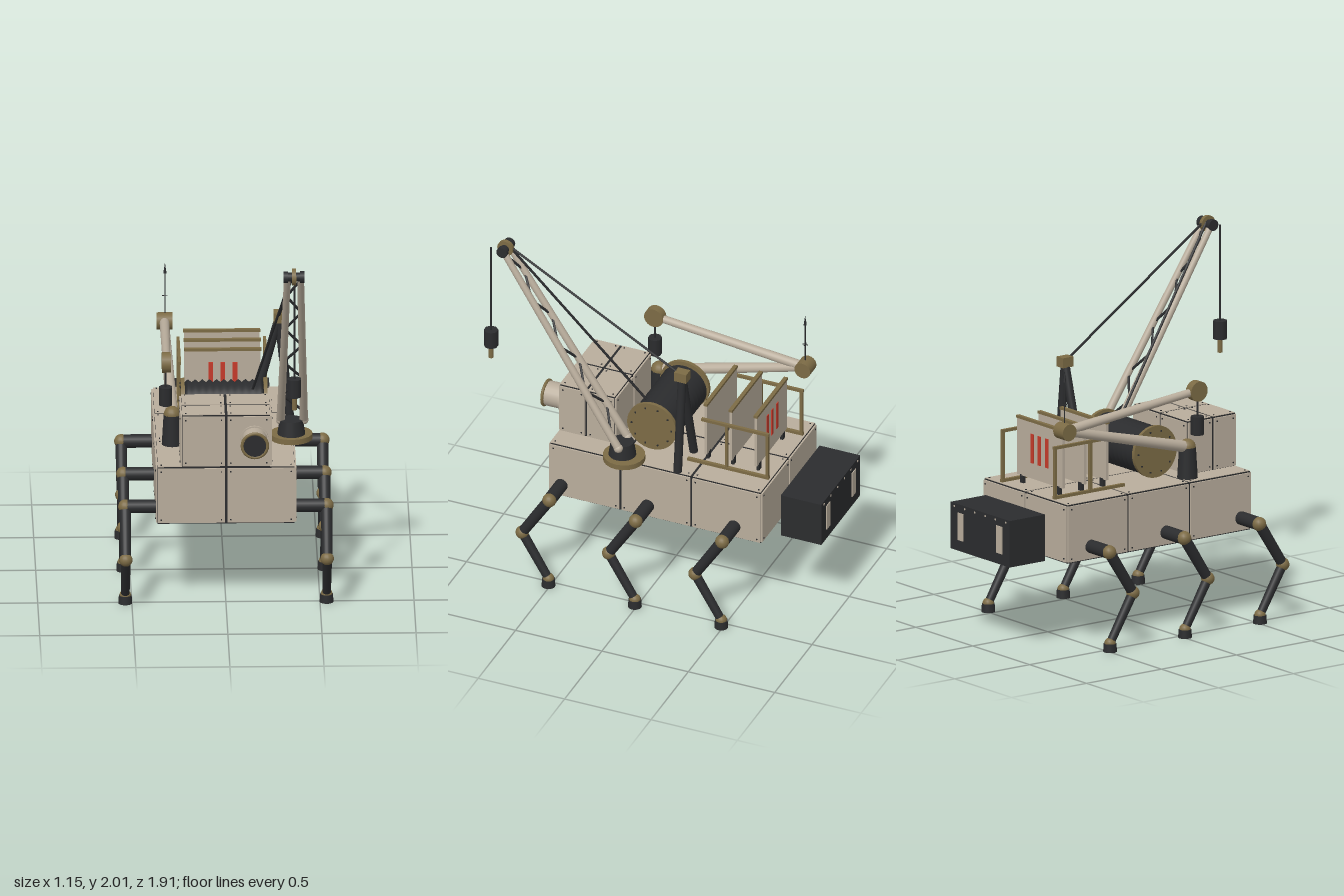
import * as THREE from 'three';

const mat = (name, color) => Object.assign(new THREE.MeshStandardMaterial({ color }), { name });
const V = (x, y, z) => new THREE.Vector3(x, y, z);

export function createModel() {
  const root = new THREE.Group();
  root.name = 'walkingCrane';
  const beige = mat('beige plating', 0xb9ad9c);
  const dark = mat('dark iron', 0x2b2c2e);
  const bronze = mat('bronze', 0x7c6b45);
  const red = mat('red marking', 0xc63a2a);

  const add = (name, geo, m, x = 0, y = 0, z = 0, parent = root) => {
    const mesh = new THREE.Mesh(geo, m);
    mesh.name = name;
    mesh.position.set(x, y, z);
    parent.add(mesh);
    return mesh;
  };
  const box = (name, w, h, d, m, x, y, z, parent) =>
    add(name, new THREE.BoxGeometry(w, h, d), m, x, y, z, parent);
  const ball = (name, r, m, p, parent) =>
    add(name, new THREE.SphereGeometry(r, 16, 12), m, p.x, p.y, p.z, parent);
  // Cylinder between two points
  const rod = (name, a, b, r, m, parent, r2 = r) => {
    const dir = b.clone().sub(a);
    const mesh = add(name, new THREE.CylinderGeometry(r2, r, dir.length(), r < 0.01 ? 6 : 20), m, 0, 0, 0, parent);
    mesh.position.copy(a).add(b).multiplyScalar(0.5);
    mesh.quaternion.setFromUnitVectors(V(0, 1, 0), dir.normalize());
    return mesh;
  };
  const group = (name) => {
    const g = new THREE.Group();
    g.name = name;
    root.add(g);
    return g;
  };

  // Dark core clad in separate riveted plates; cuts are the seams on each axis
  const plated = (name, cuts) => {
    const g = group(name), t = 0.012, gap = 0.007;
    const lo = cuts.map((c) => c[0]), hi = cuts.map((c) => c[c.length - 1]);
    const size = hi.map((h, i) => h - lo[i]);
    box(name + 'Core', size[0] - 0.012, size[1], size[2] - 0.012, dark,
      ...hi.map((h, i) => (h + lo[i]) / 2), g);
    for (let axis = 0; axis < 3; axis++) {
      const u = (axis + 1) % 3, v = (axis + 2) % 3;
      for (const side of [-1, 1]) {
        if (axis === 1 && side < 0) continue;
        const face = (side > 0 ? hi : lo)[axis];
        for (let i = 0; i + 1 < cuts[u].length; i++) for (let j = 0; j + 1 < cuts[v].length; j++) {
          const dims = [], pos = [];
          dims[axis] = t;
          pos[axis] = face - side * (t / 2 - 0.003);
          dims[u] = cuts[u][i + 1] - cuts[u][i] - 2 * gap;
          dims[v] = cuts[v][j + 1] - cuts[v][j] - 2 * gap;
          pos[u] = (cuts[u][i + 1] + cuts[u][i]) / 2;
          pos[v] = (cuts[v][j + 1] + cuts[v][j]) / 2;
          box(name + 'Plate', ...dims, beige, ...pos, g);
          for (const a of [-1, 1]) for (const b of [-1, 1]) {
            const p = [...pos];
            p[axis] = face + side * 0.003;
            p[u] += a * (dims[u] / 2 - 0.018);
            p[v] += b * (dims[v] / 2 - 0.018);
            box('rivet', 0.007, 0.007, 0.007, dark, ...p, g);
          }
        }
      }
    }
  };
  plated('hull', [[-0.37, 0, 0.37], [0.47, 0.79], [-0.65, -0.245, 0.165, 0.578]]);
  plated('cabin', [[-0.24, 0, 0.24], [0.79, 1.083], [0.25, 0.42, 0.578]]);

  // Round lamp on the cabin front
  const lamp = group('lamp');
  rod('lampHousing', V(0.15, 0.95, 0.57), V(0.15, 0.95, 0.69), 0.068, beige, lamp);
  rod('lampFlange', V(0.15, 0.95, 0.58), V(0.15, 0.95, 0.592), 0.076, beige, lamp);
  add('lampRim', new THREE.TorusGeometry(0.067, 0.009, 8, 28), bronze, 0.15, 0.95, 0.686, lamp);
  rod('lampLens', V(0.15, 0.95, 0.68), V(0.15, 0.95, 0.694), 0.06, dark, lamp);

  // Winch drum wound with cable
  const winch = group('winch');
  const profile = [[0, -0.215]];
  for (let i = 0; i <= 22; i++) profile.push([i % 2 ? 0.132 : 0.116, -0.21 + (i * 0.42) / 22]);
  profile.push([0, 0.215]);
  const drum = add('drum', new THREE.LatheGeometry(profile.map((p) => new THREE.Vector2(...p)), 36), dark, 0, 0.95, 0.04, winch);
  drum.rotation.z = -Math.PI / 2;
  for (const s of [-1, 1]) {
    const flange = add('drumFlange', new THREE.CylinderGeometry(0.142, 0.142, 0.02, 36), bronze, s * 0.22, 0.95, 0.045, winch);
    flange.rotation.z = Math.PI / 2;
    for (let i = 0; i < 10; i++) {
      const a = (i * Math.PI) / 5;
      box('flangeBolt', 0.008, 0.008, 0.008, dark, s * 0.231, 0.95 + 0.115 * Math.sin(a), 0.045 + 0.115 * Math.cos(a), winch);
    }
  }

  // Slewing base and lattice boom
  const crane = group('crane');
  rod('turntable', V(0.355, 0.795, 0.15), V(0.355, 0.825, 0.15), 0.113, bronze, crane);
  rod('craneBase', V(0.355, 0.82, 0.16), V(0.355, 0.905, 0.16), 0.075, dark, crane, 0.062);
  const foot = (s) => V(0.36 + s * 0.062, 0.9, 0.155), head = (s) => V(0.355 + s * 0.035, 1.96, 0.835);
  for (const s of [-1, 1]) {
    rod('boomBeam', foot(s), head(s), 0.022, beige, crane, 0.018);
    ball('boomFoot', 0.025, beige, foot(s), crane);
  }
  for (let i = 0, s = 1; i < 8; i++, s = -s) {
    rod('boomLattice', foot(s).lerp(head(s), 0.06 + i * 0.115), foot(-s).lerp(head(-s), 0.06 + (i + 1) * 0.115), 0.007, dark, crane);
  }
  rod('tipAxle', V(0.30, 1.96, 0.835), V(0.41, 1.96, 0.835), 0.024, dark, crane);
  for (const s of [-1, 1]) rod('tipCap', V(0.355 + s * 0.032, 1.96, 0.835), V(0.355 + s * 0.056, 1.96, 0.835), 0.031, dark, crane);
  rod('tipPulley', V(0.344, 1.96, 0.835), V(0.366, 1.96, 0.835), 0.045, bronze, crane);

  // Load line, block and hook
  const hanging = (x, z, top, blockTop, size, h, parent) => {
    rod('loadLine', V(x, top, z), V(x, blockTop, z), 0.006, dark, parent);
    add('loadBlock', new THREE.CylinderGeometry(size * 0.55, size * 0.55, h, 8).rotateY(Math.PI / 8), dark, x, blockTop - h / 2, z, parent);
  };
  hanging(0.355, 0.92, 1.94, 1.415, 0.07, 0.1, crane);
  rod('loadHook', V(0.355, 1.24, 0.92), V(0.355, 1.32, 0.92), 0.013, bronze, crane);

  // A-frame mast with stay and hoist cables
  const mast = group('mast');
  const top = V(0.295, 1.36, -0.16);
  for (const x of [0.14, 0.355]) rod('mastLeg', V(x, 0.795, -0.16), top, 0.023, dark, mast);
  box('mastCap', 0.055, 0.055, 0.07, bronze, 0.295, 1.37, -0.16, mast);
  rod('stayCable', V(0.355, 1.98, 0.82), V(0.295, 1.37, -0.16), 0.007, dark, mast);
  rod('hoistCable', V(0.345, 1.97, 0.82), V(0.15, 1.05, 0.1), 0.007, dark, mast);

  // Folding service arm
  const arm = group('serviceArm');
  const shoulder = V(-0.28, 0.96, 0.22), elbow = V(-0.303, 1.18, -0.615), wrist = V(-0.31, 1.268, 0.255);
  rod('armBase', V(-0.28, 0.79, 0.22), V(-0.28, 0.96, 0.22), 0.055, dark, arm, 0.045);
  ball('shoulderJoint', 0.045, bronze, shoulder, arm);
  rod('upperArm', shoulder, elbow, 0.032, beige, arm, 0.024);
  rod('foreArm', elbow, wrist, 0.026, beige, arm, 0.021);
  rod('elbowJoint', V(-0.345, 1.18, -0.615), V(-0.26, 1.18, -0.615), 0.046, bronze, arm);
  rod('wristJoint', V(-0.335, 1.268, 0.258), V(-0.288, 1.268, 0.258), 0.055, bronze, arm);
  hanging(-0.315, 0.26, 1.25, 1.13, 0.068, 0.1, arm);

  // Aerial on the elbow
  rod('aerial', V(-0.3, 1.2, -0.615), V(-0.3, 1.48, -0.615), 0.0035, dark, arm);
  add('aerialTip', new THREE.ConeGeometry(0.009, 0.06, 8), dark, -0.3, 1.48, -0.615, arm);
  box('aerialCross', 0.03, 0.004, 0.004, dark, -0.3, 1.325, -0.615, arm);
  box('aerialCross', 0.004, 0.004, 0.03, dark, -0.3, 1.325, -0.615, arm);

  // Upright radiator plates with red markings
  const radiators = group('radiators');
  for (const z of [-0.545, -0.4, -0.255]) {
    box('radiatorPlate', 0.4, 0.315, 0.016, beige, 0, 0.992, z, radiators);
    box('radiatorCap', 0.41, 0.014, 0.022, bronze, 0, 1.15, z, radiators);
    for (const x of [-0.16, 0.16]) box('radiatorFoot', 0.03, 0.05, 0.016, dark, x, 0.815, z, radiators);
  }
  for (const x of [-0.065, 0, 0.065]) {
    box('redStripe', 0.025, 0.16, 0.004, red, x, 1.0, -0.555, radiators);
    box('redStripe', 0.025, 0.16, 0.004, red, x, 1.0, -0.245, radiators);
  }

  // Guard rails
  const rails = group('guardRails');
  for (const x of [-0.23, 0.23]) {
    box('topRail', 0.016, 0.016, 0.39, bronze, x, 1.075, -0.44, rails);
    box('baseRail', 0.018, 0.016, 0.47, bronze, x, 0.803, -0.4, rails);
    for (const z of [-0.625, -0.39]) box('railPost', 0.016, 0.28, 0.016, bronze, x, 0.935, z, rails);
  }

  // Rear counterweight
  const weight = group('counterweight');
  box('weightBody', 0.52, 0.255, 0.235, dark, 0, 0.603, -0.833, weight);
  for (const s of [-1, 1]) box('weightStripe', 0.05, 0.15, 0.006, beige, s * 0.17, 0.61, -0.952, weight);
  for (let i = 0; i < 6; i++) box('weightBolt', 0.009, 0.009, 0.009, beige, -0.225 + i * 0.09, 0.715, -0.949, weight);

  // Six jointed legs
  for (const s of [-1, 1]) for (const z of [0.505, 0.005, -0.495]) {
    const leg = group('leg');
    const hip = V(s * 0.535, 0.545, z), knee = V(s * 0.535, 0.3, z + 0.157), ankle = V(s * 0.535, 0.045, z + 0.005);
    rod('hipBeam', V(s * 0.35, 0.545, z), hip, 0.036, dark, leg);
    ball('hipJoint', 0.038, bronze, hip, leg);
    rod('thigh', hip, knee, 0.031, dark, leg, 0.028);
    ball('kneeJoint', 0.036, bronze, knee, leg);
    rod('shin', knee, ankle, 0.026, dark, leg, 0.023);
    ball('ankleJoint', 0.031, bronze, ankle, leg);
    rod('foot', V(ankle.x, 0, ankle.z), V(ankle.x, 0.045, ankle.z), 0.037, dark, leg, 0.034);
  }
  return root;
}
